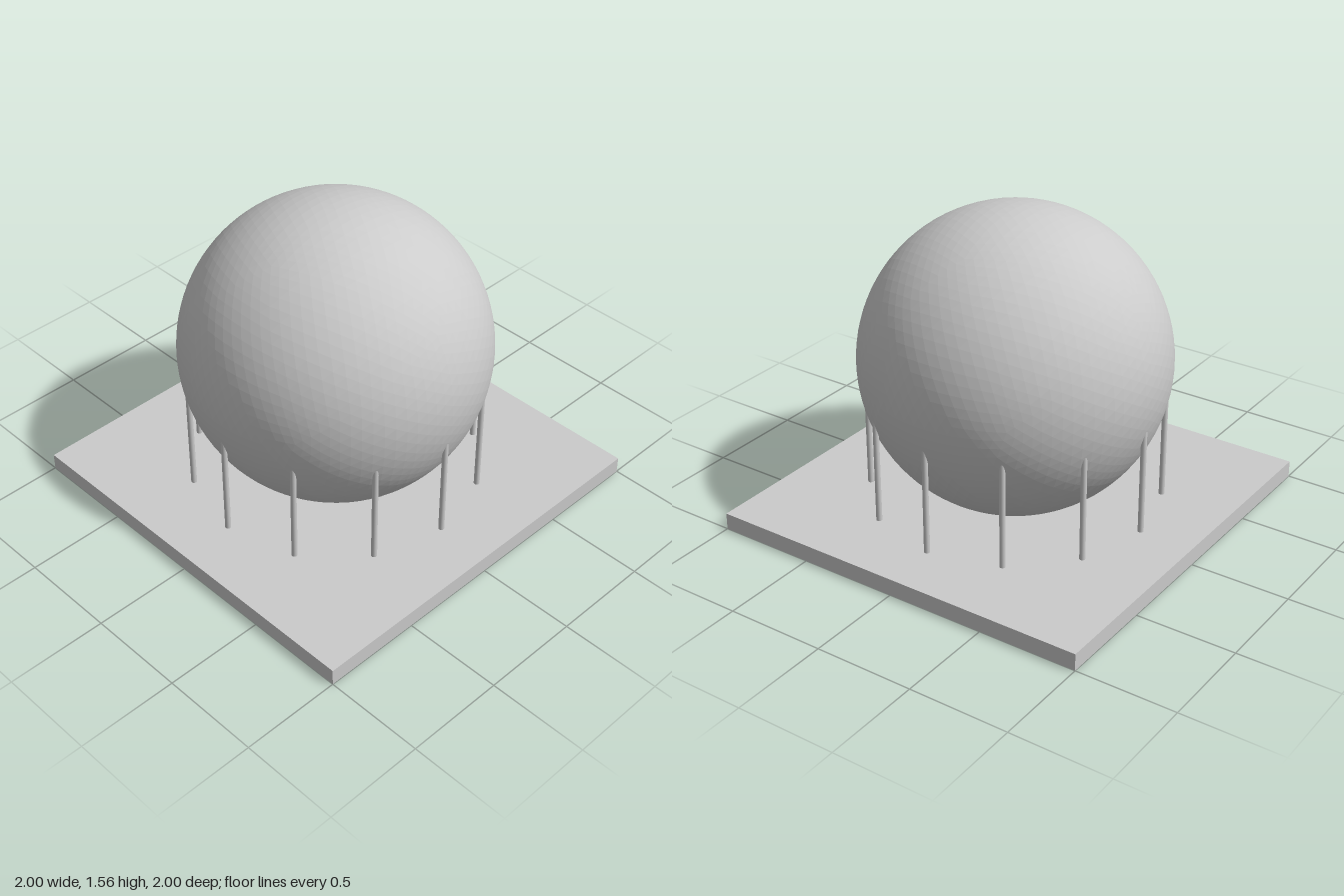
import * as THREE from 'three';

export function createModel() {
  const model = new THREE.Group();
  const material = new THREE.MeshStandardMaterial({ color: 0xcccccc });
  const faceted = new THREE.MeshStandardMaterial({ color: 0xcccccc, flatShading: true });

  const add = (name, geometry, mat, x, y, z, parent = model) => {
    const mesh = new THREE.Mesh(geometry, mat);
    mesh.name = name;
    mesh.position.set(x, y, z);
    parent.add(mesh);
    return mesh;
  };

  // Square foundation slab
  const slabHeight = 0.085;
  add('foundationSlab', new THREE.BoxGeometry(2, slabHeight, 2), material, 0, slabHeight / 2, 0);

  // Spherical tank, its bottom slightly sunk into the slab
  add('sphericalTank', new THREE.IcosahedronGeometry(0.756, 15), faceted, 0, 0.802, 0);

  // Ring of twelve slim legs whose tops run into the tank wall
  const legs = new THREE.Group();
  legs.name = 'supportLegs';
  model.add(legs);
  const legCount = 12, ringRadius = 0.72, legTop = 0.66;
  const legHeight = legTop - slabHeight + 0.01;
  const legGeometry = new THREE.CylinderGeometry(0.0145, 0.0145, legHeight, 16);
  for (let i = 0; i < legCount; i++) {
    const a = (i / legCount) * Math.PI * 2;
    add('supportLeg', legGeometry, material,
      Math.sin(a) * ringRadius, legTop - legHeight / 2, Math.cos(a) * ringRadius, legs);
  }

  return model;
}
